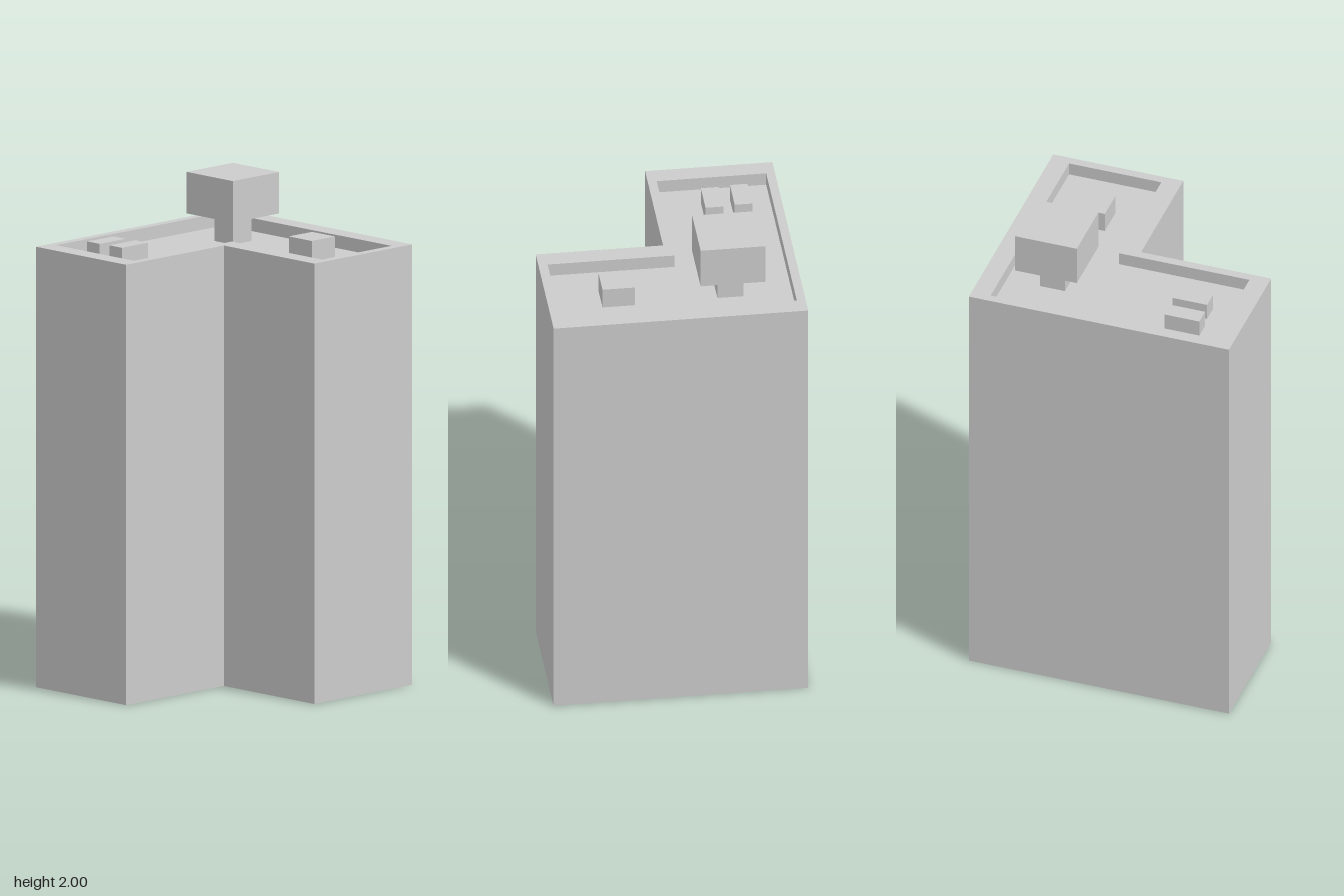
import * as THREE from 'three';

const material = new THREE.MeshStandardMaterial({ color: 0xcccccc, flatShading: true });

// L-shaped outlines as [x, z], counterclockwise seen from above
const outer = [[-0.544, 0], [0, 0], [0, 0.507], [0.544, 0.507], [0.544, -0.507], [-0.544, -0.507]];
const inner = [[-0.466, -0.036], [0.079, -0.036], [0.079, 0.47], [0.465, 0.47], [0.465, -0.472], [-0.466, -0.472]];
const TOP = 1.775, ROOF = 1.722;

function add(group, name, geometry) {
  const mesh = new THREE.Mesh(geometry, material);
  mesh.name = name;
  group.add(mesh);
  return mesh;
}

// Vertical walls along a closed outline
function walls(loop, y0, y1) {
  const positions = [];
  loop.forEach(([ax, az], i) => {
    const [bx, bz] = loop[(i + 1) % loop.length];
    positions.push(ax, y0, az, bx, y0, bz, bx, y1, bz, ax, y0, az, bx, y1, bz, ax, y1, az);
  });
  const geometry = new THREE.BufferGeometry();
  geometry.setAttribute('position', new THREE.Float32BufferAttribute(positions, 3));
  geometry.computeVertexNormals();
  return geometry;
}

// Horizontal face, facing up (dir = 1) or down (dir = -1)
function cap(loop, y, dir, hole) {
  const points = (l) => l.map(([x, z]) => new THREE.Vector2(x, -dir * z));
  const shape = new THREE.Shape(points(loop));
  if (hole) shape.holes.push(new THREE.Path(points(hole)));
  return new THREE.ShapeGeometry(shape).rotateX(-dir * Math.PI / 2).translate(0, y, 0);
}

// Box given by its limits
function block(group, name, x0, x1, y0, y1, z0, z1) {
  const geometry = new THREE.BoxGeometry(x1 - x0, y1 - y0, z1 - z0);
  add(group, name, geometry.translate((x0 + x1) / 2, (y0 + y1) / 2, (z0 + z1) / 2));
}

export function createModel() {
  const model = new THREE.Group();
  model.name = 'building';

  // Building shell with a recessed roof
  add(model, 'outerWalls', walls(outer, 0, TOP));
  add(model, 'base', cap(outer, 0, -1));
  add(model, 'parapetTop', cap(outer, TOP, 1, inner));
  add(model, 'parapetInside', walls([...inner].reverse(), ROOF, TOP));
  add(model, 'roof', cap(inner, ROOF, 1));

  // Rooftop units
  block(model, 'ventFront', -0.37, -0.226, ROOF, 1.79, -0.27, -0.199);
  block(model, 'ventBack', -0.378, -0.233, ROOF, 1.79, -0.386, -0.316);
  block(model, 'roofHatch', 0.206, 0.335, ROOF, 1.805, 0.156, 0.285);

  // Tank on a stem, with a shallow tapered underside
  const tank = new THREE.Group();
  tank.name = 'tank';
  block(tank, 'tankStem', 0.222, 0.326, ROOF, 1.822, -0.278, -0.174);
  block(tank, 'tankBody', 0.145, 0.403, 1.833, 2, -0.356, -0.097);
  const taper = new THREE.CylinderGeometry(0.129 * Math.SQRT2, 0.052 * Math.SQRT2, 0.012, 4, 1, true);
  add(tank, 'tankUnderside', taper.rotateY(Math.PI / 4).translate(0.274, 1.827, -0.226));
  model.add(tank);

  return model;
}
